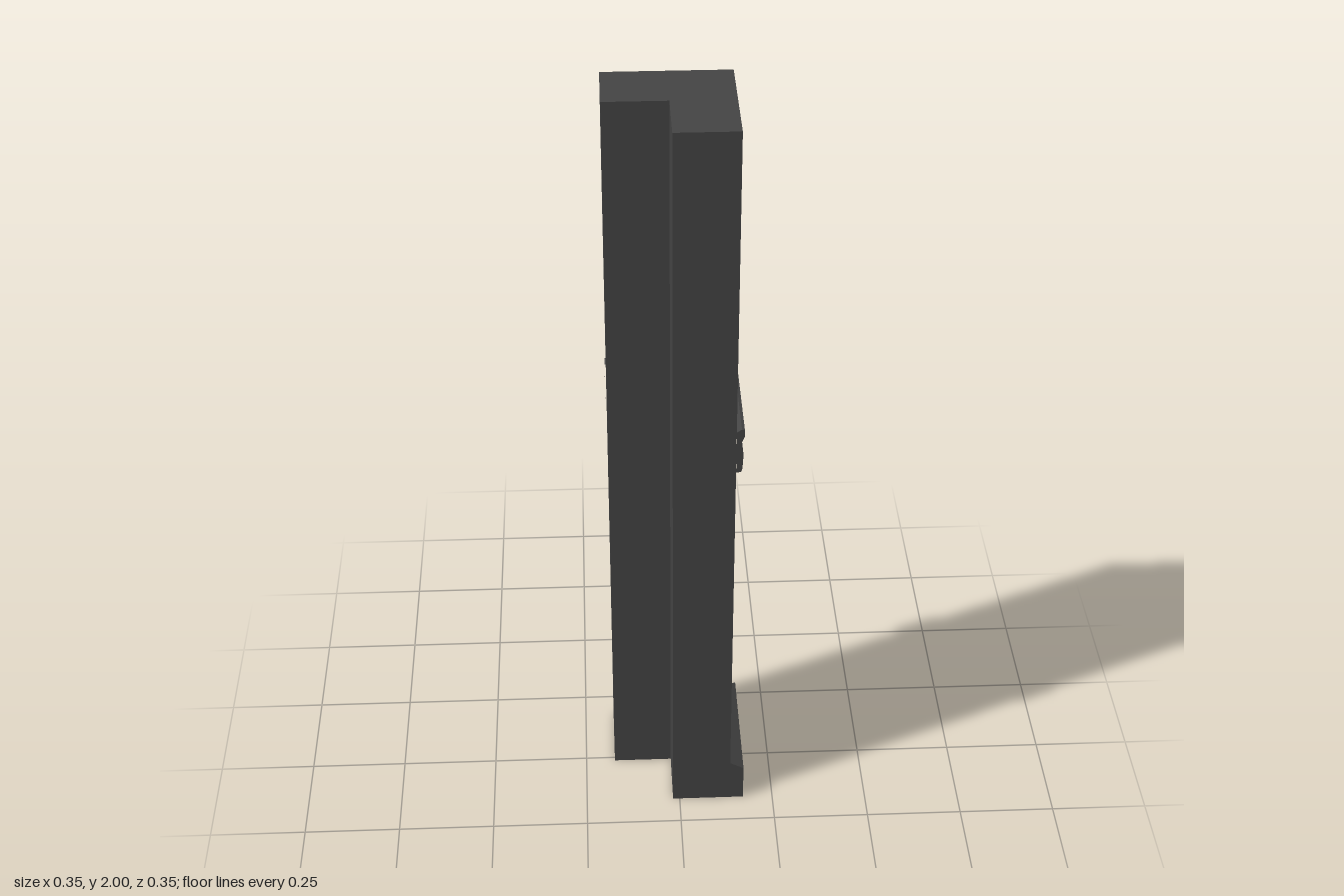
import * as THREE from 'three';

// Outer walls and ends of the L-shaped corner column
const LEFT = 0.135, BACK = -0.14, RIGHT = -0.172, FRONT = 0.167;
const INNER_X = -0.018, INNER_Z = 0.012;

// Sweeps a moulding profile [outward, y] along the back and left walls with a mitred corner
function mouldingGeometry(profile, overhang = 0) {
  const rings = [
    ([d, y]) => [RIGHT - overhang, y, BACK - d],
    ([d, y]) => [LEFT + d, y, BACK - d],
    ([d, y]) => [LEFT + d, y, FRONT + overhang],
  ].map((place) => profile.map(place));
  const wallMiddle = [0, (profile[0][1] + profile[profile.length - 1][1]) / 2];
  const startCentre = [RIGHT - overhang, wallMiddle[1], BACK];
  const endCentre = [LEFT, wallMiddle[1], FRONT + overhang];
  const pos = [];
  const tri = (a, b, c) => pos.push(...a, ...b, ...c);
  for (let i = 0; i < profile.length - 1; i++) {
    for (let j = 0; j < 2; j++) {
      const a = rings[j][i], b = rings[j + 1][i];
      const c = rings[j + 1][i + 1], d = rings[j][i + 1];
      tri(a, c, b);
      tri(a, d, c);
    }
    // End caps
    tri(startCentre, rings[0][i + 1], rings[0][i]);
    tri(endCentre, rings[2][i], rings[2][i + 1]);
  }
  const geometry = new THREE.BufferGeometry();
  geometry.setAttribute('position', new THREE.Float32BufferAttribute(pos, 3));
  geometry.computeVertexNormals();
  return geometry;
}

export function createModel() {
  const group = new THREE.Group();
  group.name = 'cornerColumn';
  const material = new THREE.MeshStandardMaterial({ color: 0x444444 });
  const add = (name, geometry) => {
    const mesh = new THREE.Mesh(geometry, material);
    mesh.name = name;
    group.add(mesh);
  };

  // L-shaped shaft, drawn in plan and extruded upwards
  const plan = new THREE.Shape([
    [RIGHT, BACK], [LEFT, BACK], [LEFT, FRONT],
    [INNER_X, FRONT], [INNER_X, INNER_Z], [RIGHT, INNER_Z],
  ].map(([x, z]) => new THREE.Vector2(x, -z)));
  const shaft = new THREE.ExtrudeGeometry(plan, { depth: 2, bevelEnabled: false });
  shaft.rotateX(-Math.PI / 2);
  add('shaft', shaft);

  // Skirting with a sloped top
  add('baseSkirting', mouldingGeometry([[0, 0], [0.036, 0], [0.036, 0.105], [0.018, 0.115], [0, 0.125]]));

  // Narrow band with a projecting lip
  add('middleBand', mouldingGeometry([
    [0, 1.088], [0.012, 1.09], [0.015, 1.1], [0.017, 1.14], [0.012, 1.185],
    [0.019, 1.193], [0.019, 1.212], [0.012, 1.214], [0, 1.206],
  ], 0.003));

  return group;
}
